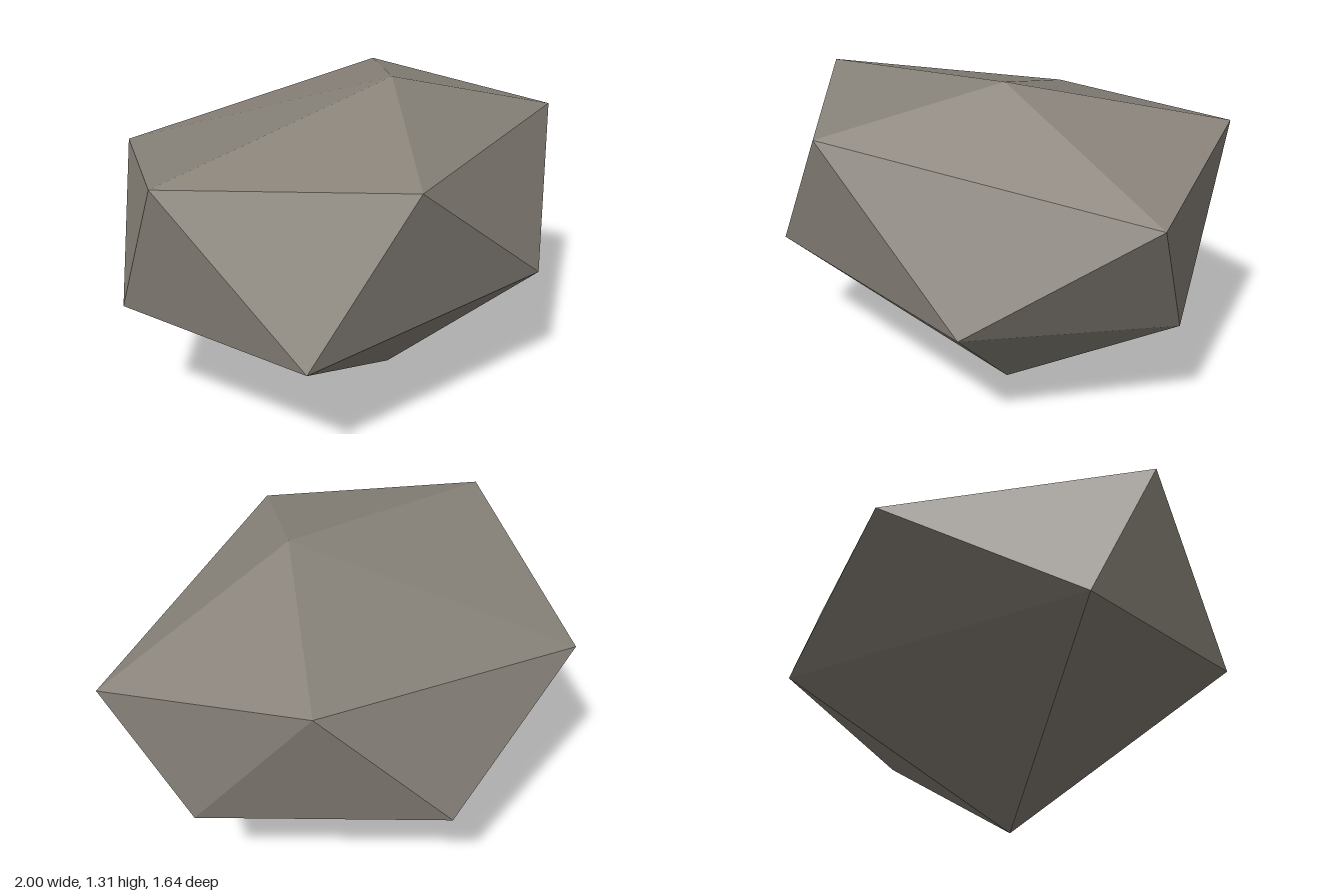
import * as THREE from 'three';

// Faceted boulder: two staggered rings of five corners between a peak and a foot.
export function createModel() {
  const peak = [0.13, 1.31, 0.23];
  const foot = [0.14, 0, 0.235];
  const upper = [
    [-1, 1.13, 0.02], [-0.39, 1.11, 0.75], [1, 1.025, 0.47], [0.79, 1.13, -0.36], [-0.35, 0.94, -0.82],
  ];
  const lower = [
    [-0.81, 0.505, 0.57], [0.37, 0.535, 0.82], [0.9, 0.475, 0.145], [0.4, 0.535, -0.72], [-0.91, 0.54, -0.27],
  ];

  // Four triangles per step round: cap, two in the belt, underside
  const corners = [];
  for (let i = 0; i < 5; i++) {
    const n = (i + 1) % 5;
    corners.push(
      peak, upper[i], upper[n],
      upper[i], lower[i], upper[n],
      upper[n], lower[i], lower[n],
      foot, lower[n], lower[i],
    );
  }
  const geometry = new THREE.BufferGeometry();
  geometry.setAttribute('position', new THREE.Float32BufferAttribute(corners.flat(), 3));
  geometry.computeVertexNormals(); // unshared corners keep each facet flat

  const stone = new THREE.MeshStandardMaterial({ color: 0x8a847b, flatShading: true });
  stone.name = 'stone';

  const rock = new THREE.Mesh(geometry, stone);
  rock.name = 'rock';
  const group = new THREE.Group();
  group.name = 'boulder';
  group.add(rock);
  return group;
}
